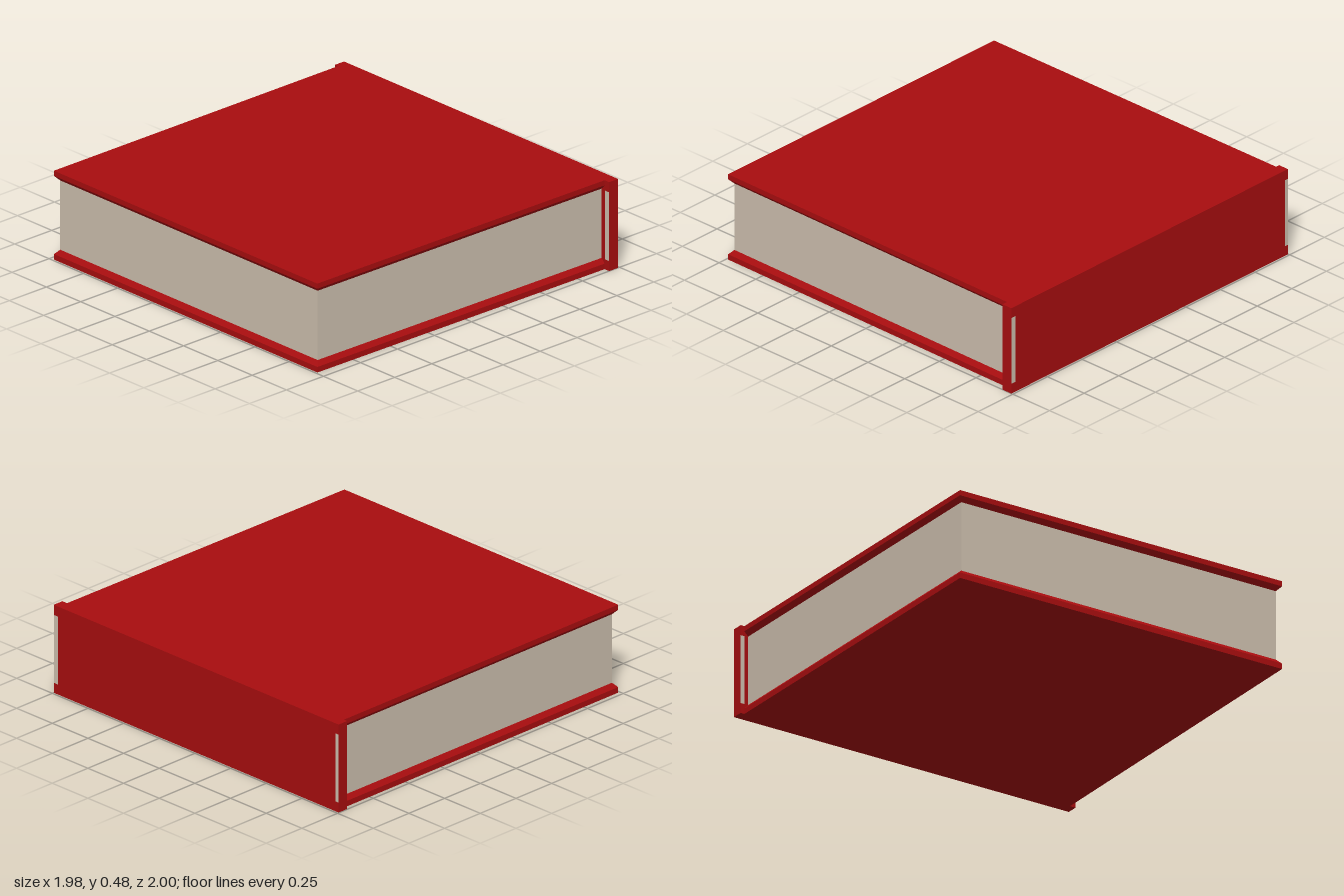
import * as THREE from 'three';

const red = new THREE.MeshStandardMaterial({ name: 'red cover', color: 0xa80d0f });
const cream = new THREE.MeshStandardMaterial({ name: 'cream paper', color: 0xcdbfae });

const SPINE_IN = 0.93, SPINE_OUT = 0.99;

// Slightly skewed book outline, drawn in by `inset` on the three open edges.
function outline(y, inset) {
  return [
    [-0.99 + inset, y, 0.945 - inset],
    [SPINE_IN, y, 0.967 - inset],
    [SPINE_IN, y, -0.975 + inset],
    [-0.99 + inset, y, -0.975 + inset],
  ];
}

// Closed solid through [y, inset] levels, listed from bottom to top.
function stack(name, material, levels) {
  const rings = levels.map(([y, inset]) => outline(y, inset));
  const pos = [];
  const quad = (a, b, c, d) => pos.push(...a, ...b, ...c, ...a, ...c, ...d);
  for (let i = 0; i < rings.length - 1; i++) {
    const lo = rings[i], hi = rings[i + 1];
    for (let k = 0; k < 4; k++) {
      const n = (k + 1) % 4;
      quad(lo[k], lo[n], hi[n], hi[k]);
    }
  }
  const bottom = rings[0], top = rings[rings.length - 1];
  quad(bottom[3], bottom[2], bottom[1], bottom[0]);
  quad(top[0], top[1], top[2], top[3]);
  const geo = new THREE.BufferGeometry();
  geo.setAttribute('position', new THREE.Float32BufferAttribute(pos, 3));
  geo.computeVertexNormals();
  const mesh = new THREE.Mesh(geo, material);
  mesh.name = name;
  return mesh;
}

// Box across the spine's thickness, given by its y and z ranges.
function spineBox(name, material, y0, y1, z0, z1) {
  const geo = new THREE.BoxGeometry(SPINE_OUT - SPINE_IN, y1 - y0, z1 - z0);
  const mesh = new THREE.Mesh(geo, material);
  mesh.position.set((SPINE_IN + SPINE_OUT) / 2, (y0 + y1) / 2, (z0 + z1) / 2);
  mesh.name = name;
  return mesh;
}

export function createModel() {
  const book = new THREE.Group();
  book.name = 'book';

  // Boards with edges bevelled in towards the paper
  book.add(stack('bottomCover', red, [[0, 0], [0.03, 0], [0.054, 0.022]]));
  book.add(stack('topCover', red, [[0.428, 0.022], [0.452, 0], [0.48, 0]]));
  book.add(stack('pages', cream, [[0.054, 0.022], [0.428, 0.022]]));

  // Spine with overhanging ends: red caps, paper-coloured sides between them
  const spine = new THREE.Group();
  spine.name = 'spine';
  spine.add(spineBox('spineBoard', red, 0, 0.48, -0.975, 0.97));
  const sides = [cream, cream, red, red, red, red];
  for (const [end, z0, z1] of [['front', 0.97, 1], ['back', -0.997, -0.975]]) {
    spine.add(spineBox(end + 'SpineFoot', red, 0, 0.054, z0, z1));
    spine.add(spineBox(end + 'SpineEnd', sides, 0.054, 0.425, z0, z1));
    spine.add(spineBox(end + 'SpineHead', red, 0.425, 0.48, z0, z1));
  }
  book.add(spine);
  return book;
}
